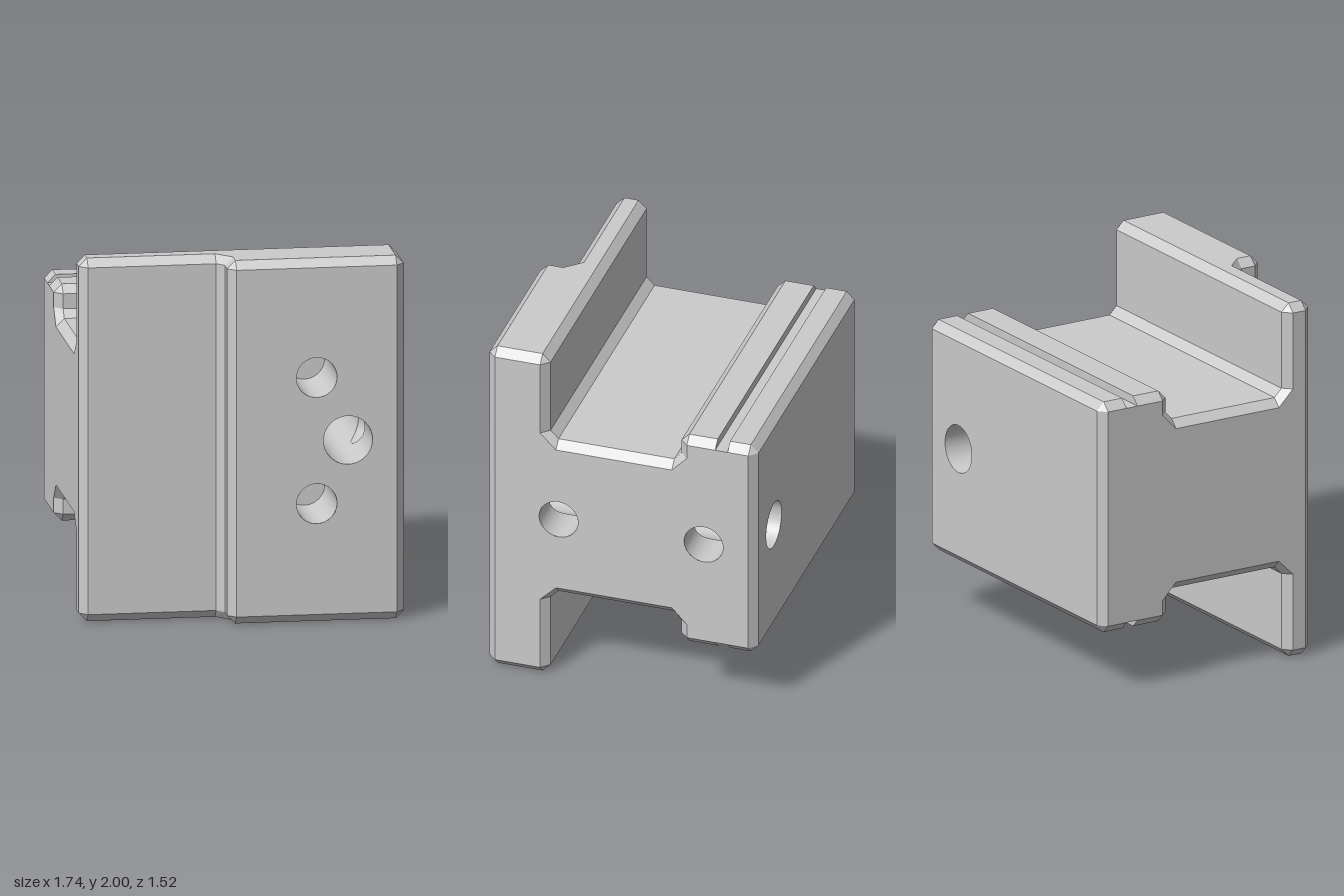
import * as THREE from 'three';
import { mergeGeometries } from 'three/addons/utils/BufferGeometryUtils.js';
import { ParametricGeometry } from 'three/addons/geometries/ParametricGeometry.js';

const C = 0.045;                       // chamfer on every edge
const SEG = 48;
const BORE = { x: 0.56, y: 1, r: 0.133 };
const SIDE = { r: 0.11, z: [-0.465, 0.355] };
const BLIND = { r: 0.11, x: 0.39, y: [0.655, 1.35], depth: 0.45 };
const FRONT = 0.76, BACK = -0.76, HALF_X = 0.87;

const flat = new THREE.MeshStandardMaterial({ color: 0xcccccc, flatShading: true });
const smooth = new THREE.MeshStandardMaterial({ color: 0xcccccc, side: THREE.DoubleSide });

// Flat polygon with round holes [u, v, r], facing +z
function plate(points, holes = []) {
  const shape = new THREE.Shape(points.map(([u, v]) => new THREE.Vector2(u, v)));
  for (const [u, v, r] of holes) shape.holes.push(new THREE.Path().absarc(u, v, r, 0, Math.PI * 2));
  const g = new THREE.ShapeGeometry(shape, SEG).toNonIndexed();
  g.deleteAttribute('uv');
  return g;
}

// Prism along z with chamfered ends. Each point is [u, v, endU, endV], counter-clockwise.
// The closing edge stays open, and so does the wall that starts at point openWall.
function chamferedPrism(pts, half, openWall, holes) {
  const pos = [];
  const rings = [[2, -half], [0, C - half], [0, half - C], [2, half]];
  for (let i = 0; i < pts.length - 1; i++) {
    for (let k = 0; k < 3; k++) {
      if (k === 1 && i === openWall) continue;
      const at = (p, [o, w]) => [p[o], p[o + 1], w];
      const a = at(pts[i], rings[k]), b = at(pts[i + 1], rings[k]);
      const c = at(pts[i + 1], rings[k + 1]), d = at(pts[i], rings[k + 1]);
      pos.push(...a, ...b, ...c, ...a, ...c, ...d);
    }
  }
  const walls = new THREE.BufferGeometry();
  walls.setAttribute('position', new THREE.Float32BufferAttribute(pos, 3));
  walls.computeVertexNormals();

  const end = pts.map((p) => [p[2], p[3]])
    .filter((p, i, all) => !i || p[0] !== all[i - 1][0] || p[1] !== all[i - 1][1]);
  const near = plate(end, holes).translate(0, 0, half);
  const far = plate(end.map(([u, v]) => [-u, v])).rotateY(Math.PI).translate(0, 0, -half);
  return mergeGeometries([walls, near, far]);
}

export function createModel() {
  const group = new THREE.Group();
  const add = (name, geometry, material = flat) => {
    const mesh = new THREE.Mesh(geometry, material);
    mesh.name = name;
    group.add(mesh);
  };

  // Upper half of the side profile, front to back: z, y above centre, then the same at the ends
  const upper = [
    [0.54, 1, 0.54, 0.955], [0.46, 1, 0.46, 0.955],
    [0.415, 0.955, 0.46, 0.955], [0.415, 0.525, 0.46, 0.525],
    [0.37, 0.48, 0.37, 0.435], [-0.285, 0.48, -0.285, 0.435],
    [-0.325, 0.525, -0.37, 0.525], [-0.325, 0.607, -0.37, 0.607],
    [-0.37, 0.652, -0.37, 0.607],
    [-0.53, 0.652, -0.53, 0.607], [-0.53, 0.607, -0.53, 0.607],   // groove
    [-0.6, 0.607, -0.6, 0.607], [-0.6, 0.652, -0.6, 0.607],
    [-0.717, 0.652, -0.717, 0.607], [BACK, 0.607, -0.717, 0.607],
  ].map(([z, y, ez, ey]) => [-z, y, -ez, ey]);
  const lower = upper.map(([u, v, eu, ev]) => [u, -v, eu, -ev]);
  const profile = [...lower, ...upper.reverse()];
  add('mainBlock', chamferedPrism(profile, HALF_X, lower.length - 1,
    SIDE.z.map((z) => [-z, 0, SIDE.r])).rotateY(Math.PI / 2).translate(0, 1, 0));

  // Stepped front layer, plan outline: x, z, then the same at top and bottom
  const plan = [
    [-0.87, 0.54, -0.825, 0.54], [-0.825, 0.585, -0.825, 0.54],
    [-0.13, 0.585, -0.13, 0.54], [-0.09, 0.63, -0.045, 0.63],
    [-0.09, 0.715, -0.045, 0.715], [-0.045, FRONT, -0.045, 0.715],
    [0.825, FRONT, 0.825, 0.715], [0.87, 0.715, 0.825, 0.715],
    [0.87, 0.54, 0.825, 0.54],
  ].map(([x, z, ex, ez]) => [x, -z, ex, -ez]);
  add('steppedFront', chamferedPrism(plan, 1, 5).rotateX(-Math.PI / 2).translate(0, 1, 0));

  // Drilled front and back faces
  const rect = (x0, x1, y0, y1) => [[x0, y0], [x1, y0], [x1, y1], [x0, y1]];
  add('frontFace', plate(rect(-0.045, 0.825, C, 2 - C),
    [[BORE.x, BORE.y, BORE.r], ...BLIND.y.map((y) => [BLIND.x, y, BLIND.r])]).translate(0, 0, FRONT));
  add('backFace', plate(rect(C - HALF_X, HALF_X - C, 0.393, 1.607), [[-BORE.x, BORE.y, BORE.r]])
    .rotateY(Math.PI).translate(0, 0, BACK));

  // Through bore: plain wall, plus patches between the openings of the side holes
  const lerp = THREE.MathUtils.lerp;
  const onBore = (angle, z, t) =>
    t.set(BORE.x + BORE.r * Math.cos(angle), BORE.y + BORE.r * Math.sin(angle), z);
  const edge = Math.asin(SIDE.r / BORE.r);
  add('throughBore', new ParametricGeometry((u, v, t) =>
    onBore(lerp(edge, Math.PI * 2 - edge, u), lerp(BACK, FRONT, v), t), SEG, 1), smooth);
  const [z0, z1] = SIDE.z;
  for (const [a, sa, b, sb] of [[BACK, 0, z0, -1], [z0, 1, z1, -1], [z1, 1, FRONT, 0]]) {
    add('boreWall', new ParametricGeometry((u, v, t) => {
      const k = (u - 0.5) * Math.PI, h = SIDE.r * Math.cos(k);
      onBore(Math.asin(SIDE.r * Math.sin(k) / BORE.r), lerp(a + sa * h, b + sb * h, v), t);
    }, SEG / 2, 1), smooth);
  }

  // Side holes running into the bore
  for (const z of SIDE.z) {
    add('sideHole', new ParametricGeometry((u, v, t) => {
      const k = u * Math.PI * 2, y = SIDE.r * Math.sin(k);
      const inner = BORE.x + Math.sqrt(BORE.r ** 2 - y * y);
      t.set(lerp(inner, HALF_X, v), BORE.y + y, z + SIDE.r * Math.cos(k));
    }, SEG, 1), smooth);
  }

  // Blind holes in the front
  for (const y of BLIND.y) {
    add('blindHole', new THREE.CylinderGeometry(BLIND.r, BLIND.r, BLIND.depth, SEG, 1, true)
      .rotateX(Math.PI / 2).translate(BLIND.x, y, FRONT - BLIND.depth / 2), smooth);
    add('blindHoleFloor', new THREE.CircleGeometry(BLIND.r, SEG)
      .translate(BLIND.x, y, FRONT - BLIND.depth));
  }
  return group;
}
